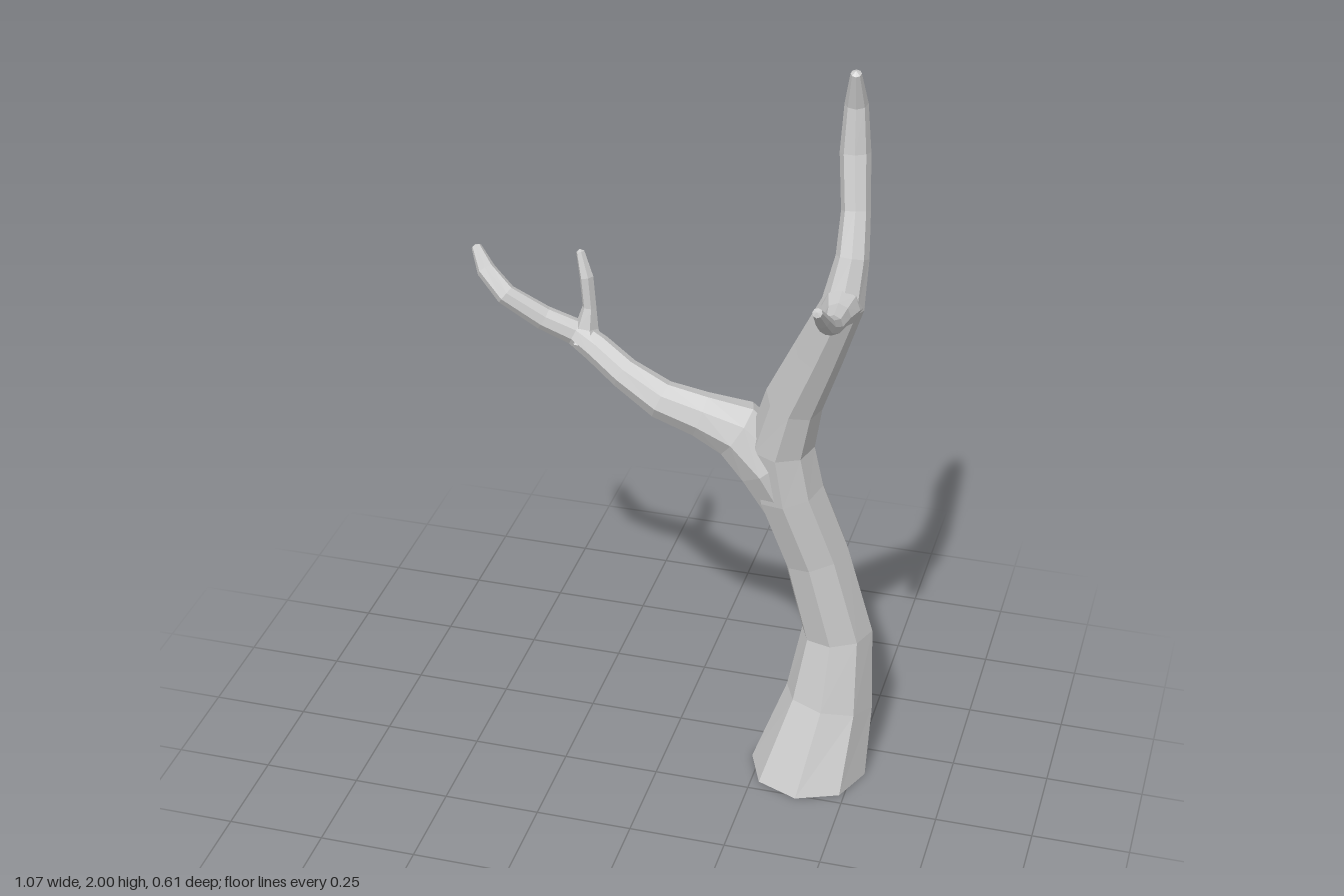
import * as THREE from 'three';

const SIDES = 8;
const material = new THREE.MeshStandardMaterial({ color: 0xcccccc, flatShading: true, side: THREE.DoubleSide });

// Faceted limb swept through rings [x, y, z, radius], closed with a point at the tip
function limb(name, rings, sides = SIDES, startDir = null) {
  const centres = rings.map(([x, y, z]) => new THREE.Vector3(x, y, z));
  const last = rings.length - 1;
  const positions = [], index = [];
  const u = new THREE.Vector3(1, 0, 0.001), v = new THREE.Vector3(), tangent = new THREE.Vector3();
  let previous = null;

  rings.forEach((ring, i) => {
    // Direction halfway between the neighbouring segments
    const before = centres[i].clone().sub(centres[Math.max(i - 1, 0)]).normalize();
    const after = centres[Math.min(i + 1, last)].clone().sub(centres[i]).normalize();
    tangent.addVectors(before, after).normalize();
    if (i === 0 && startDir) tangent.copy(startDir);
    // Carry the ring's frame along without twisting
    if (previous) u.applyQuaternion(new THREE.Quaternion().setFromUnitVectors(previous, tangent));
    u.addScaledVector(tangent, -u.dot(tangent)).normalize();
    v.crossVectors(tangent, u);
    previous = tangent.clone();

    for (let j = 0; j < sides; j++) {
      const a = (j / sides) * Math.PI * 2;
      const p = centres[i].clone()
        .addScaledVector(u, Math.cos(a) * ring[3])
        .addScaledVector(v, Math.sin(a) * ring[3]);
      positions.push(p.x, p.y, p.z);
      const k = (j + 1) % sides;
      const n = i * sides;
      if (i < last) {
        index.push(n + j, n + k, n + sides + k, n + j, n + sides + k, n + sides + j);
      } else {
        index.push(n + j, n + k, n + sides);
      }
    }
  });
  const tip = centres[last].clone().addScaledVector(previous, rings[last][3] * 0.6);
  positions.push(tip.x, tip.y, tip.z);

  const geometry = new THREE.BufferGeometry();
  geometry.setAttribute('position', new THREE.Float32BufferAttribute(positions, 3));
  geometry.setIndex(index);
  const flat = geometry.toNonIndexed();
  flat.computeVertexNormals();
  const mesh = new THREE.Mesh(flat, material);
  mesh.name = name;
  return mesh;
}

export function createModel() {
  const tree = new THREE.Group();
  tree.name = 'bareTree';

  // Trunk, open at the foot, running on into the tall top limb
  tree.add(limb('trunk', [
    [0.38, 0, -0.14, 0.153],
    [0.42, 0.2, -0.19, 0.116],
    [0.43, 0.4, -0.21, 0.093],
    [0.37, 0.64, -0.19, 0.087],
    [0.305, 0.84, -0.155, 0.088],
    [0.285, 0.98, -0.138, 0.084],
    [0.32, 1.12, -0.112, 0.073],
    [0.385, 1.28, -0.075, 0.063],
    [0.448, 1.44, -0.035, 0.052],
    [0.46, 1.55, -0.066, 0.04],
    [0.455, 1.65, -0.11, 0.035],
    [0.44, 1.78, -0.152, 0.037],
    [0.437, 1.9, -0.158, 0.028],
    [0.44, 1.988, -0.124, 0.013],
  ], SIDES, new THREE.Vector3(0, 1, 0)));

  // Long side branch, flared where it leaves the trunk
  tree.add(limb('sideBranch', [
    [0.315, 0.78, -0.16, 0.07],
    [0.25, 0.92, -0.145, 0.086],
    [0.17, 1.0, -0.14, 0.077],
    [0.08, 1.035, -0.125, 0.058],
    [-0.02, 1.065, -0.12, 0.05],
    [-0.12, 1.115, -0.137, 0.041],
    [-0.2, 1.158, -0.167, 0.038],
    [-0.26, 1.187, -0.183, 0.034],
    [-0.34, 1.225, -0.167, 0.031],
    [-0.43, 1.287, -0.147, 0.027],
    [-0.49, 1.333, -0.175, 0.024],
    [-0.528, 1.374, -0.215, 0.013],
  ]));

  // Small upright twig on the side branch
  tree.add(limb('sideTwig', [
    [-0.232, 1.165, -0.178, 0.042],
    [-0.232, 1.205, -0.186, 0.03],
    [-0.226, 1.26, -0.19, 0.018],
    [-0.234, 1.34, -0.194, 0.018],
    [-0.253, 1.402, -0.206, 0.011],
  ], 6));

  // Forward twig near the top of the trunk
  tree.add(limb('frontTwig', [
    [0.445, 1.43, -0.05, 0.052],
    [0.45, 1.447, 0, 0.046],
    [0.453, 1.452, 0.05, 0.032],
    [0.457, 1.464, 0.12, 0.024],
    [0.458, 1.498, 0.19, 0.021],
    [0.458, 1.54, 0.245, 0.018],
    [0.457, 1.585, 0.297, 0.012],
  ]));

  return tree;
}
